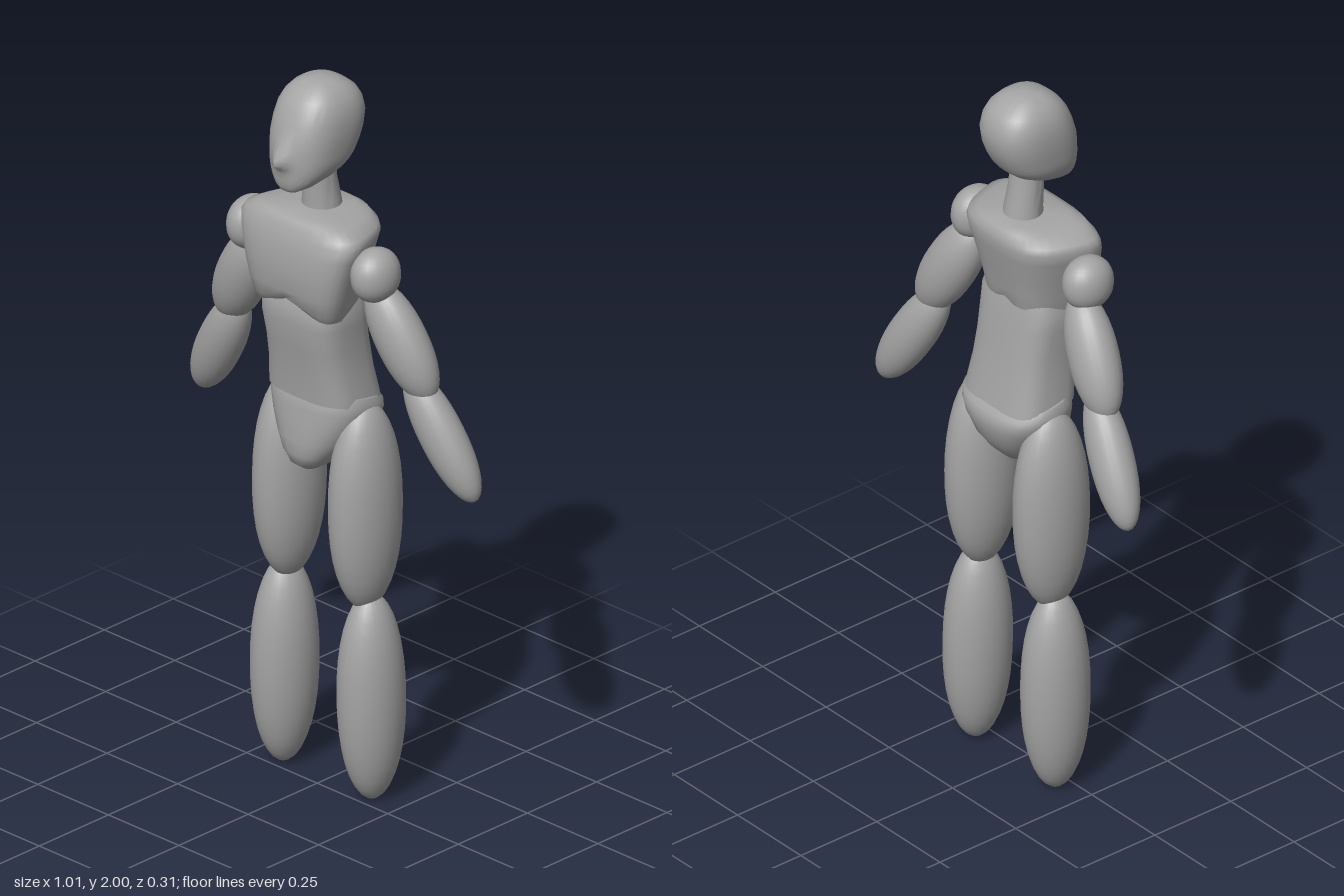
import * as THREE from 'three';
import { toCreasedNormals } from 'three/addons/utils/BufferGeometryUtils.js';

const grey = new THREE.MeshStandardMaterial({ color: 0xa4a4a4 });
grey.name = 'grey';

function part(group, name, geometry) {
  const mesh = new THREE.Mesh(geometry, grey);
  mesh.name = name;
  group.add(mesh);
  return mesh;
}

// Closed body from horizontal rings [y, half width, front z, back z], bottom to top.
// power squares the outline, taper widens its front, warp moves single points.
function loft(rings, { n = 32, power = 2.5, taper = 0, warp = null, crease = 0.8 } = {}) {
  const pos = [], idx = [];
  const bend = (v) => Math.sign(v) * Math.pow(Math.abs(v), 2 / power);
  const p = new THREE.Vector3();
  for (const [y, w, zf, zb] of rings) {
    for (let j = 0; j < n; j++) {
      const a = (j / n) * Math.PI * 2, c = bend(Math.cos(a));
      p.set(w * bend(Math.sin(a)) * (1 + taper * c), y, (zf + zb) / 2 + c * (zf - zb) / 2);
      if (warp) warp(p);
      pos.push(p.x, p.y, p.z);
    }
  }
  for (let i = 0; i < rings.length - 1; i++) {
    for (let j = 0; j < n; j++) {
      const a = i * n + j, b = i * n + (j + 1) % n;
      idx.push(a, b, b + n, a, b + n, a + n);
    }
  }
  const g = new THREE.BufferGeometry();
  g.setAttribute('position', new THREE.Float32BufferAttribute(pos, 3));
  g.setIndex(idx);
  g.computeVertexNormals();
  return toCreasedNormals(g, crease);
}

// Rounded limb between two end points, with half widths across and in depth
function limb(group, name, from, to, rx, rz) {
  const a = new THREE.Vector3(...from), b = new THREE.Vector3(...to);
  const profile = [];
  for (let i = 0; i <= 18; i++) {
    const t = -Math.cos((i / 18) * Math.PI);
    profile.push(new THREE.Vector2(Math.sqrt(Math.max(0, 1 - Math.pow(Math.abs(t), 2.2))), t));
  }
  const mesh = part(group, name, new THREE.LatheGeometry(profile, 24));
  mesh.scale.set(rx, a.distanceTo(b) / 2, rz);
  mesh.position.copy(a).add(b).multiplyScalar(0.5);
  mesh.quaternion.setFromUnitVectors(new THREE.Vector3(0, 1, 0), a.sub(b).normalize());
}

export function createModel() {
  const model = new THREE.Group();
  model.name = 'mannequin';

  // Head, with the nose drawn out of the face
  part(model, 'head', loft([
    [1.716, 0, 0.1, 0.1], [1.718, 0.028, 0.118, 0.075], [1.73, 0.05, 0.124, 0.03],
    [1.75, 0.07, 0.127, -0.025], [1.77, 0.083, 0.128, -0.062], [1.785, 0.089, 0.128, -0.08],
    [1.80, 0.093, 0.128, -0.092], [1.815, 0.095, 0.127, -0.1], [1.83, 0.097, 0.126, -0.108],
    [1.86, 0.1, 0.122, -0.119], [1.90, 0.1, 0.11, -0.125], [1.935, 0.094, 0.095, -0.117],
    [1.96, 0.082, 0.078, -0.102], [1.98, 0.064, 0.056, -0.078], [1.993, 0.04, 0.03, -0.05],
    [2.0, 0, -0.01, -0.01],
  ], {
    n: 48, power: 2.5, crease: 1.2,
    warp: (p) => {
      if (p.z < 0.06) return;
      const h = (p.y - 1.803) / (p.y > 1.803 ? 0.045 : 0.018);
      p.z += 0.032 * Math.exp(-((p.x / 0.024) ** 2) - h * h);
    },
  }));

  part(model, 'neck', loft([
    [1.60, 0.056, 0.035, -0.075], [1.66, 0.05, 0.034, -0.066], [1.72, 0.046, 0.038, -0.052],
    [1.80, 0.045, 0.042, -0.045],
  ], { n: 24, power: 2 }));

  // Chest, wide in front, with an arched lower edge
  part(model, 'chest', loft([
    [1.37, 0, 0.01, 0.01], [1.37, 0.125, 0.105, -0.078], [1.39, 0.134, 0.117, -0.082],
    [1.44, 0.147, 0.127, -0.088], [1.50, 0.163, 0.13, -0.1], [1.56, 0.178, 0.127, -0.115],
    [1.595, 0.186, 0.117, -0.121], [1.612, 0.178, 0.11, -0.119], [1.632, 0.14, 0.1, -0.11],
    [1.641, 0.09, 0.08, -0.095], [1.643, 0, 0, 0],
  ], {
    power: 3.2, taper: 0.2,
    warp: (p) => {
      if (p.y < 1.43) p.y += 0.04 * Math.max(0, 1 - Math.abs(p.x) / 0.11) * (1.43 - p.y) / 0.06;
    },
  }));

  // Waist, its lower edge dropping toward the back
  part(model, 'waist', loft([
    [1.12, 0, -0.03, -0.03], [1.12, 0.144, 0.074, -0.135], [1.15, 0.141, 0.077, -0.127],
    [1.20, 0.134, 0.083, -0.113], [1.27, 0.13, 0.095, -0.1], [1.34, 0.134, 0.108, -0.088],
    [1.39, 0.135, 0.107, -0.08], [1.43, 0.12, 0.09, -0.07], [1.43, 0, 0, 0],
  ], {
    power: 3.2,
    warp: (p) => { if (p.y < 1.25) p.y -= 0.18 * Math.max(0, 0.05 - p.z) * (1.25 - p.y) / 0.13; },
  }));

  // Pelvis, narrowing to the crotch
  part(model, 'pelvis', loft([
    [0.908, 0, 0.02, 0.02], [0.912, 0.025, 0.05, -0.03], [0.93, 0.052, 0.075, -0.075],
    [0.96, 0.082, 0.084, -0.105], [1.0, 0.11, 0.085, -0.133], [1.05, 0.138, 0.08, -0.149],
    [1.09, 0.152, 0.076, -0.15], [1.12, 0.155, 0.072, -0.144], [1.145, 0.147, 0.06, -0.125],
    [1.145, 0, -0.03, -0.03],
  ], {
    power: 2.5,
    warp: (p) => { if (p.y > 1.05) p.y -= 0.18 * Math.max(0, 0.05 - p.z) * (p.y - 1.05) / 0.09; },
  }));

  // Arms and legs on both sides
  for (const [side, s] of [['left', 1], ['right', -1]]) {
    const g = new THREE.Group();
    g.name = side + 'Limbs';
    model.add(g);
    limb(g, side + 'Shoulder', [s * 0.215, 1.592, 0.013], [s * 0.225, 1.448, 0.013], 0.058, 0.071);
    limb(g, side + 'UpperArm', [s * 0.2, 1.49, 0.0], [s * 0.362, 1.195, -0.04], 0.073, 0.063);
    limb(g, side + 'Forearm', [s * 0.297, 1.262, -0.03], [s * 0.487, 0.94, -0.075], 0.063, 0.056);
    limb(g, side + 'Thigh', [s * 0.132, 1.115, -0.037], [s * 0.137, 0.535, -0.037], 0.081, 0.109);
    limb(g, side + 'LowerLeg', [s * 0.15, 0.582, -0.038], [s * 0.157, 0.005, -0.04], 0.082, 0.095);
  }
  return model;
}
